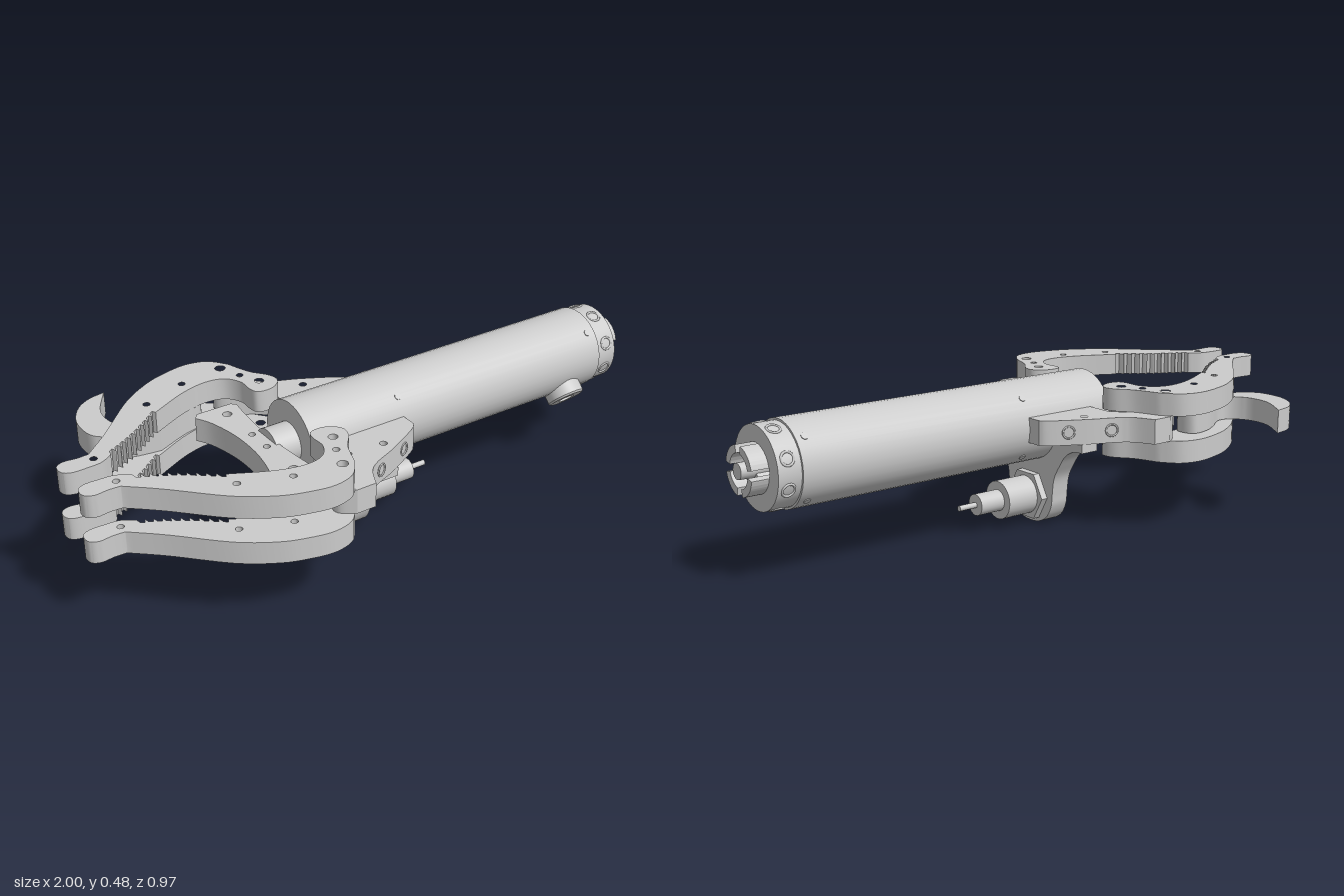
import * as THREE from 'three';
import { toCreasedNormals } from 'three/addons/utils/BufferGeometryUtils.js';

const AX_Y = 0.345, AX_Z = 0.051; // axis of the main tube
const mat = new THREE.MeshStandardMaterial({ color: 0xcccccc });

export function createModel() {
  const root = new THREE.Group();

  const add = (name, geo, parent = root) => {
    const m = new THREE.Mesh(geo, mat);
    m.name = name;
    parent.add(m);
    return m;
  };

  // Runs of points: each run is a smooth curve, runs are joined by straight lines
  const outline = (runs) => runs.flatMap((run) => run.length < 3
    ? run.map((p) => new THREE.Vector2(...p))
    : new THREE.SplineCurve(run.map((p) => new THREE.Vector2(...p))).getPoints(run.length * 4));

  const extrude = (runs, depth, holes = []) => {
    const shape = new THREE.Shape(outline(runs));
    for (const [x, y, r] of holes) {
      shape.holes.push(new THREE.Path().absarc(x, y, r, 0, Math.PI * 2, true));
    }
    return toCreasedNormals(new THREE.ExtrudeGeometry(shape, { depth, bevelEnabled: false, curveSegments: 8 }), 0.5);
  };

  // Horizontal plate drawn in (x, z); far = mirrored to the other side of the axis
  const plate = (name, runs, y0, y1, holes = [], far = false, parent = root) => {
    const flip = (z) => -(far ? 2 * AX_Z - z : z);
    const geo = extrude(runs.map((run) => run.map(([x, z]) => [x, flip(z)])), y1 - y0,
      holes.map(([x, z, r]) => [x, flip(z), r]));
    geo.rotateX(-Math.PI / 2).translate(0, y0, 0);
    return add(name, geo, parent);
  };

  // Cylinder lying along x
  const rod = (name, r, x0, x1, y, z, sides = 32, parent = root) => {
    const geo = new THREE.CylinderGeometry(r, r, x1 - x0, sides);
    geo.rotateZ(-Math.PI / 2).translate((x0 + x1) / 2, y, z);
    return add(name, sides < 8 ? toCreasedNormals(geo, 0.3) : geo, parent);
  };

  // Ring lying along x, from a lathe profile
  const ring = (name, r0, r1, x0, x1, start = 0, arc = Math.PI * 2) => {
    const shape = new THREE.Shape();
    shape.absarc(0, 0, r1, start, start + arc, false);
    if (arc < 6) shape.absarc(0, 0, r0, start + arc, start, true);
    else shape.holes.push(new THREE.Path().absarc(0, 0, r0, 0, Math.PI * 2, true));
    const geo = toCreasedNormals(new THREE.ExtrudeGeometry(shape,
      { depth: x1 - x0, bevelEnabled: false, curveSegments: 24 }), 0.5);
    geo.rotateY(Math.PI / 2).translate(x0, AX_Y, AX_Z);
    return add(name, geo);
  };

  // Main tube, front piston rod and rear cap
  rod('mainTube', 0.134, -0.28, 0.865, AX_Y, AX_Z, 36);
  rod('pistonRod', 0.065, -0.36, -0.27, AX_Y, AX_Z);
  ring('rearCap', 0.076, 0.127, 0.865, 0.94);

  // Slotted rear coupling with a hub and spokes
  for (let i = 0; i < 4; i++) {
    ring('couplingSegment', 0.052, 0.076, 0.866, 0.995, i * Math.PI / 2 + 0.2, Math.PI / 2 - 0.4);
    const spoke = new THREE.BoxGeometry(0.075, 0.055, 0.02);
    spoke.translate(0.915, 0.045, 0).rotateX(i * Math.PI / 2 + Math.PI / 4).translate(0, AX_Y, AX_Z);
    add('couplingSpoke', spoke);
  }
  rod('couplingHub', 0.025, 0.866, 1.0, AX_Y, AX_Z, 16);

  // Screws of the tube and rims of the cap bores, set radially
  for (let i = 0; i < 4; i++) {
    const a = Math.PI / 4 + i * Math.PI / 2;
    for (const x of [0.055, 0.835]) {
      const s = new THREE.CylinderGeometry(0.011, 0.011, 0.01, 12);
      s.translate(x, 0.131, 0).rotateX(a).translate(0, AX_Y, AX_Z);
      add('tubeScrew', s);
    }
    for (const da of [-0.37, 0.37]) {
      const t = new THREE.TorusGeometry(0.02, 0.004, 6, 20);
      t.rotateX(Math.PI / 2).translate(0.905, 0.126, 0).rotateX(i * Math.PI / 2 + da).translate(0, AX_Y, AX_Z);
      add('capBoreRim', t);
    }
  }

  // Round side port pointing down and forward
  const port = new THREE.LatheGeometry([[0.028, 0.11], [0.063, 0.11], [0.063, 0.16], [0.056, 0.166],
    [0.028, 0.166], [0.028, 0.11]].map((p) => new THREE.Vector2(...p)), 32);
  const portGeo = toCreasedNormals(port, 0.6);
  portGeo.rotateX(Math.PI * 0.75).translate(0.745, AX_Y, AX_Z);
  add('sidePort', portGeo);
  const plug = new THREE.CylinderGeometry(0.03, 0.03, 0.04, 24);
  plug.translate(0, 0.13, 0).rotateX(Math.PI * 0.75).translate(0.745, AX_Y, AX_Z);
  add('sidePortFloor', plug);

  // Serrated gripping edge, from the arm to the fingertip
  const teeth = [];
  for (let i = 0; i < 10; i++) {
    const t = i / 10, x = -0.62 - 0.22 * t, z = 0.262 - 0.142 * t - 0.012 * Math.sin(Math.PI * t);
    teeth.push([[x, z], [x - 0.006, z + 0.012]], [[x - 0.017, z + 0.004], [x - 0.02, z - 0.012]]);
  }
  const jawRuns = [
    [[-0.89, 0.155], [-0.80, 0.235], [-0.665, 0.37], [-0.56, 0.44], [-0.48, 0.47], [-0.4, 0.484], [-0.33, 0.465], [-0.285, 0.41]],
    [[-0.285, 0.41], [-0.255, 0.33], [-0.215, 0.275], [-0.21, 0.23], [-0.25, 0.197], [-0.3, 0.2], [-0.312, 0.235],
      [-0.312, 0.285], [-0.345, 0.332], [-0.41, 0.345], [-0.5, 0.322], [-0.615, 0.265]],
    ...teeth,
    [[-0.845, 0.112], [-0.88, 0.092], [-0.92, 0.088], [-0.97, 0.088], [-0.997, 0.105], [-0.997, 0.14], [-0.97, 0.156], [-0.93, 0.152], [-0.892, 0.154]],
  ];
  const jawHoles = [[-0.89, 0.123, 0.011], [-0.62, 0.322, 0.011], [-0.47, 0.377, 0.011],
    [-0.32, 0.4, 0.017], [-0.26, 0.26, 0.015], [-0.292, 0.325, 0.011]];

  // Mounting arm between the jaw plates, touching the tube
  const armRuns = [
    [[-0.30, 0.445], [-0.235, 0.445]],
    [[-0.235, 0.445], [-0.205, 0.385], [-0.165, 0.352], [-0.08, 0.315], [0.03, 0.255], [0.055, 0.23]],
    [[0.055, 0.165], [-0.2, 0.165]],
    [[-0.2, 0.27], [-0.25, 0.32], [-0.335, 0.37], [-0.345, 0.41], [-0.30, 0.445]],
  ];

  for (const far of [false, true]) {
    const jaw = new THREE.Group();
    jaw.name = far ? 'farJaw' : 'nearJaw';
    root.add(jaw);
    plate('lowerJawPlate', jawRuns, 0.232, 0.304, jawHoles, far, jaw);
    plate('upperJawPlate', jawRuns, 0.384, 0.456, jawHoles, far, jaw);
    plate('mountingArm', armRuns, 0.304, 0.384, [[-0.09, 0.275, 0.012], [-0.32, 0.4, 0.017]], far, jaw);
    // Rims of the two bores in the slanted face of the arm
    for (const [x, z] of [[-0.145, 0.345], [-0.02, 0.284]]) {
      const t = new THREE.TorusGeometry(0.019, 0.003, 6, 20);
      t.rotateY(0.45);
      t.translate(x, AX_Y, z);
      if (far) t.rotateX(Math.PI).translate(0, 2 * AX_Y, 2 * AX_Z);
      add('armBoreRim', t, jaw);
    }
  }

  // Hook clamped between the plates of the far jaw
  plate('hook', [
    [[-0.64, -0.488], [-0.70, -0.475], [-0.75, -0.44], [-0.785, -0.385], [-0.797, -0.33], [-0.79, -0.265], [-0.75, -0.225], [-0.69, -0.195], [-0.6, -0.18]],
    [[-0.6, -0.18], [-0.5, -0.225], [-0.43, -0.245], [-0.41, -0.28], [-0.43, -0.325], [-0.5, -0.315], [-0.565, -0.28]],
    [[-0.565, -0.28], [-0.62, -0.245], [-0.665, -0.25], [-0.698, -0.29], [-0.708, -0.34], [-0.695, -0.4], [-0.64, -0.488]],
  ], 0.306, 0.382, [[-0.62, -0.22, 0.011], [-0.47, -0.275, 0.011]]);

  // Crossbar pushed by the piston rod
  const d = 0.245;
  plate('crossbar', [
    [[-0.465, AX_Z + d], [-0.345, AX_Z + d]],
    [[-0.332, AX_Z + d - 0.015], [-0.34, AX_Z + 0.17], [-0.348, AX_Z + 0.08], [-0.35, AX_Z], [-0.348, AX_Z - 0.08],
      [-0.34, AX_Z - 0.17], [-0.332, AX_Z - d + 0.015]],
    [[-0.345, AX_Z - d], [-0.465, AX_Z - d]],
    [[-0.482, AX_Z - d + 0.02], [-0.455, AX_Z - 0.17], [-0.435, AX_Z - 0.08], [-0.43, AX_Z], [-0.435, AX_Z + 0.08],
      [-0.455, AX_Z + 0.17], [-0.482, AX_Z + d - 0.02]],
  ], 0.304, 0.384, [-0.193, -0.043, 0.043, 0.193].map((o) => [-0.387, AX_Z + o, Math.abs(o) > 0.1 ? 0.015 : 0.011]));

  // Hanging bracket plate, drawn in (z, y) and symmetric about the axis
  const side = [[0.255, 0.275], [0.215, 0.272], [0.175, 0.25], [0.145, 0.21], [0.12, 0.165], [0.111, 0.11],
    [0.106, 0.07], [0.084, 0.03], [0.045, 0.006], [0, 0]];
  const mirrored = side.slice(0, -1).reverse().map(([z, y]) => [-z, y]);
  const bracket = extrude([[[-0.255, 0.304], [0.255, 0.304]], [...side, ...mirrored]], 0.063);
  bracket.rotateY(-Math.PI / 2).translate(-0.056, 0, AX_Z);
  add('sensorBracket', bracket);

  // Sensor through the bracket
  const sensorParts = [['sensorFace', 0.05, -0.14, -0.11], ['sensorBody', 0.063, -0.04, 0.08],
    ['sensorNeck', 0.035, 0.08, 0.17], ['sensorCable', 0.009, 0.17, 0.235]];
  for (const [name, r, x0, x1] of sensorParts) rod(name, r, x0, x1, 0.092, AX_Z, 28);
  const nut = new THREE.CylinderGeometry(0.086, 0.086, 0.025, 6);
  const nutGeo = toCreasedNormals(nut, 0.3);
  nutGeo.rotateY(Math.PI / 2).rotateZ(-Math.PI / 2).rotateX(Math.PI / 6).translate(-0.046, 0.092, AX_Z);
  add('sensorNut', nutGeo);

  return root;
}
